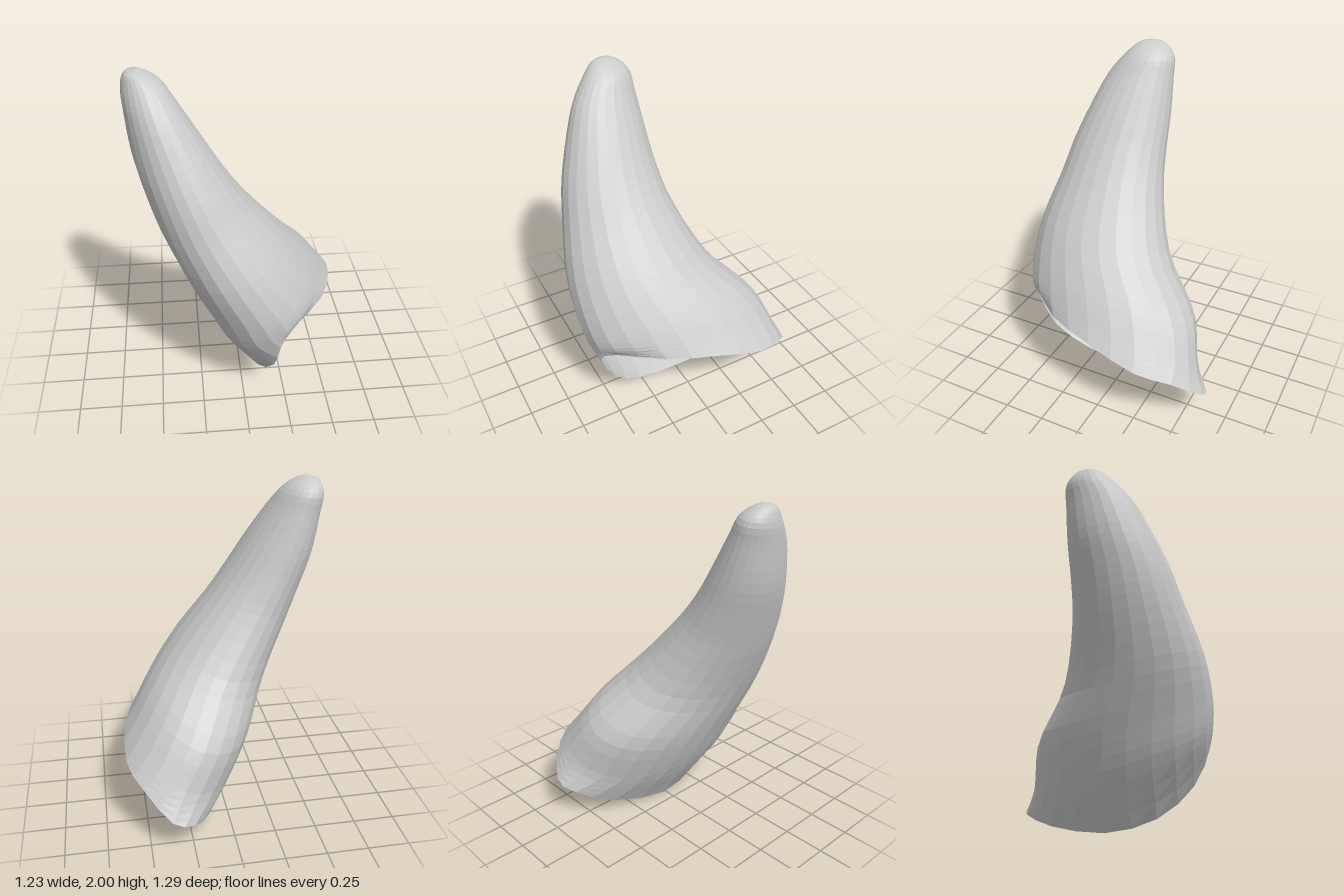
import * as THREE from 'three';

// Elliptical sections downwards from the tip: centre, forward half-axis, sideways half-axis
const SECTIONS = [
  [[-0.535, 2.0, 0.135], [0, 0, 0], [0, 0, 0]],
  [[-0.535, 1.982, 0.135], [0.01, 0, 0.075], [0.058, 0, 0]],
  [[-0.51, 1.92, 0.135], [0.02, 0, 0.143], [0.108, 0.01, 0]],
  [[-0.47, 1.805, 0.172], [0.02, 0, 0.194], [0.14, 0.025, 0]],
  [[-0.393, 1.595, 0.21], [0.02, 0, 0.25], [0.187, 0.045, 0]],
  [[-0.305, 1.395, 0.238], [0.01, 0, 0.294], [0.218, 0.055, 0]],
  [[-0.207, 1.2, 0.243], [-0.005, 0, 0.335], [0.245, 0.075, 0]],
  [[-0.025, 0.9, 0.205], [-0.03, 0.02, 0.437], [0.295, 0.1, 0]],
  [[0.122, 0.645, 0.085], [-0.045, 0.04, 0.56], [0.32, 0.135, 0]],
  [[0.225, 0.455, 0.025], [-0.08, 0.08, 0.59], [0.307, 0.19, 0]],
];
// Uneven rim of the open base, from the front round by the left side
const RIM = [
  [0.2, 0.46, 0.58], [0.28, 0.54, 0.51], [0.49, 0.585, 0.29], [0.59, 0.56, 0],
  [0.61, 0.47, -0.3], [0.53, 0.4, -0.5], [0.38, 0.25, -0.64], [0.25, 0.19, -0.6],
  [0.14, 0.08, -0.38], [0.08, 0, -0.02], [0.11, 0.06, 0.28], [0.18, 0.24, 0.48],
];
const ROWS = 36, SIDES = 24;
const vec = (p) => new THREE.Vector3(...p);

function hornGeometry() {
  const rim = new THREE.CatmullRomCurve3(RIM.map(vec), true, 'catmullrom', 0.5);
  const positions = [], index = [];
  // One lengthwise rail per side, from tip to rim
  for (let i = 0; i < SIDES; i++) {
    const t = (i / SIDES) * Math.PI * 2;
    const points = SECTIONS.map(([c, f, s]) =>
      vec(c).addScaledVector(vec(f), Math.cos(t)).addScaledVector(vec(s), Math.sin(t)));
    points.push(rim.getPoint(i / SIDES));
    const rail = new THREE.CatmullRomCurve3(points, false, 'centripetal');
    for (let r = 0; r <= ROWS; r++) positions.push(...rail.getPoint(r / ROWS).toArray());
  }
  // Skin between neighbouring rails
  for (let i = 0; i < SIDES; i++) {
    for (let r = 0; r < ROWS; r++) {
      const a = i * (ROWS + 1) + r;
      const b = ((i + 1) % SIDES) * (ROWS + 1) + r;
      index.push(a + 1, b + 1, b);
      if (r > 0) index.push(a + 1, b, a);
    }
  }
  const geometry = new THREE.BufferGeometry();
  geometry.setAttribute('position', new THREE.Float32BufferAttribute(positions, 3));
  geometry.setIndex(index);
  geometry.computeVertexNormals();
  return geometry;
}

export function createModel() {
  const group = new THREE.Group();
  group.name = 'curvedHorn';

  const material = new THREE.MeshStandardMaterial({ color: 0xcccccc, flatShading: true, side: THREE.DoubleSide });
  material.name = 'light grey';

  // Hollow horn, open at the base
  const horn = new THREE.Mesh(hornGeometry(), material);
  horn.name = 'hornShell';
  group.add(horn);
  return group;
}
